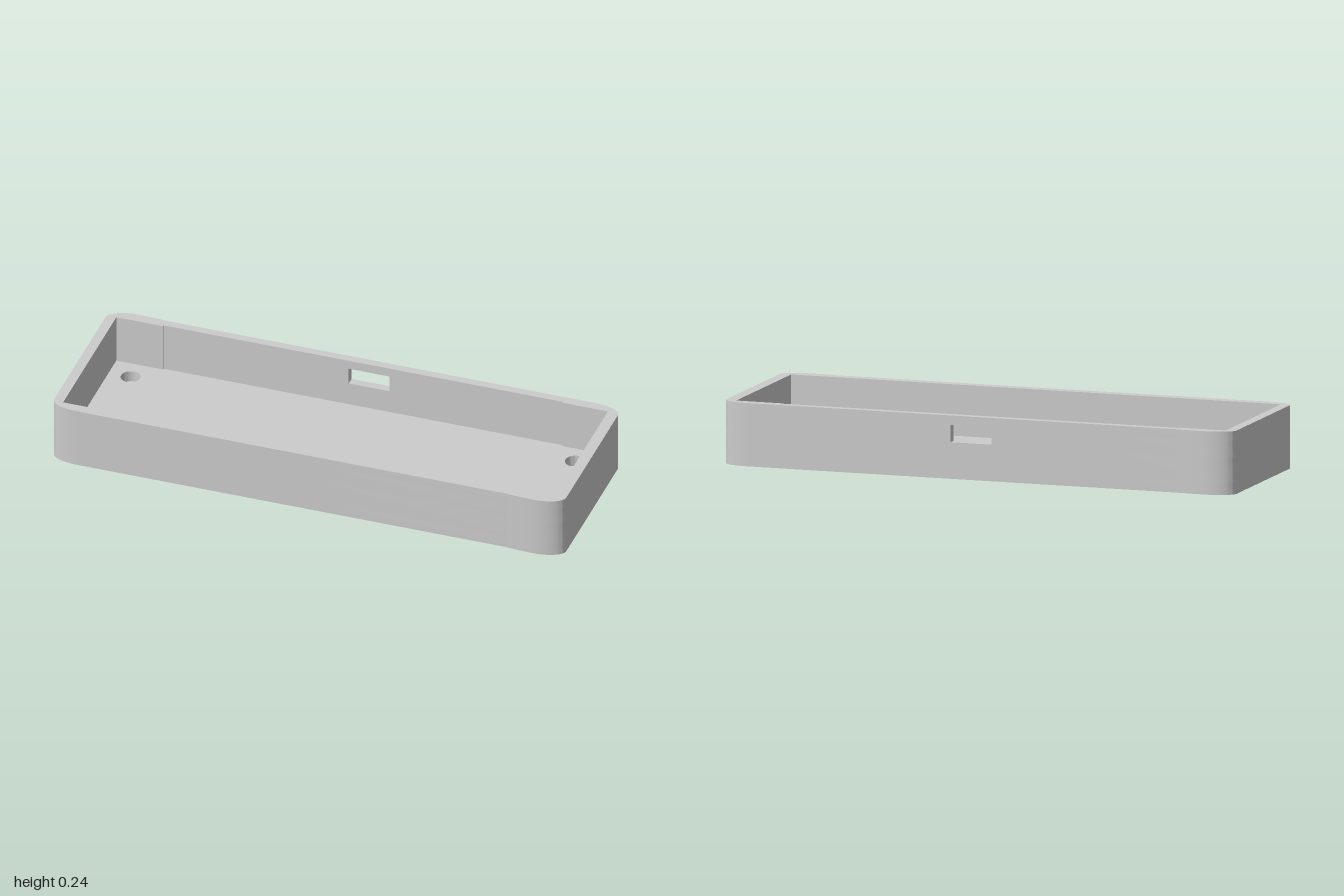
import * as THREE from 'three';
import { toCreasedNormals } from 'three/addons/utils/BufferGeometryUtils.js';

const HEIGHT = 0.237, FLOOR = 0.045;
const SLOT = { x0: -0.057, x1: 0.103, y0: 0.137, y1: 0.202 };

const material = new THREE.MeshStandardMaterial({ color: 0xcccccc });

// Extrude a plan drawn as (x, -z) from height y0 to y1
function slab(name, shape, y0, y1) {
  const flat = new THREE.ExtrudeGeometry(shape, { depth: y1 - y0, bevelEnabled: false, curveSegments: 14 });
  flat.rotateX(-Math.PI / 2).translate(0, y0, 0);
  const mesh = new THREE.Mesh(toCreasedNormals(flat, 0.5), material);
  mesh.name = name;
  return mesh;
}

// Outer edge, running clockwise from one side of the slot to the other
function outerPoints() {
  const k = 0.55, rx = 0.11, ry = 0.053;
  const p = new THREE.Path();
  p.moveTo(SLOT.x1, 0.34);
  p.lineTo(0.89, 0.34);
  p.bezierCurveTo(0.89 + k * rx, 0.34, 1, 0.29 + k * ry, 1, 0.29);
  p.lineTo(1, -0.29);
  // front corner swells slightly past the wall
  p.bezierCurveTo(1, -0.29 - k * ry, 0.89 + k * rx, -0.344, 0.89, -0.344);
  p.quadraticCurveTo(0.84, -0.344, 0.78, -0.338);
  p.lineTo(-0.89, -0.338);
  p.bezierCurveTo(-0.89 - k * rx, -0.338, -1, -0.29 - k * ry, -1, -0.29);
  p.lineTo(-1, 0.29);
  // opposite back corner swells the same way
  p.bezierCurveTo(-1, 0.29 + k * ry, -0.89 - k * rx, 0.345, -0.89, 0.345);
  p.quadraticCurveTo(-0.84, 0.345, -0.78, 0.34);
  p.lineTo(SLOT.x0, 0.34);
  return p.getPoints(14);
}

// Square-cornered cavity with a shallow recess along the back wall
const innerPoints = [
  [SLOT.x0, 0.308], [-0.78, 0.308], [-0.78, 0.302], [-0.962, 0.302], [-0.962, -0.298],
  [0.957, -0.298], [0.957, 0.302], [0.78, 0.302], [0.78, 0.308], [SLOT.x1, 0.308],
].map(([x, y]) => new THREE.Vector2(x, y));

export function createModel() {
  const tray = new THREE.Group();
  tray.name = 'tray';
  const outer = outerPoints();

  // Floor with three screw holes
  const floor = new THREE.Shape(outer);
  for (const [x, z] of [[-0.877, -0.217], [0.856, -0.222], [0.007, 0.238]]) {
    floor.holes.push(new THREE.Path().absarc(x, -z, 0.037, 0, Math.PI * 2));
  }
  tray.add(slab('floor', floor, 0, FLOOR));

  // Walls: closed rings below and above the slot, an open ring beside it
  const ring = new THREE.Shape(outer);
  ring.holes.push(new THREE.Path(innerPoints));
  const openRing = new THREE.Shape([...outer, ...innerPoints]);
  tray.add(
    slab('lowerWall', ring, FLOOR, SLOT.y0),
    slab('slottedWall', openRing, SLOT.y0, SLOT.y1),
    slab('rim', ring, SLOT.y1, HEIGHT),
  );
  return tray;
}
